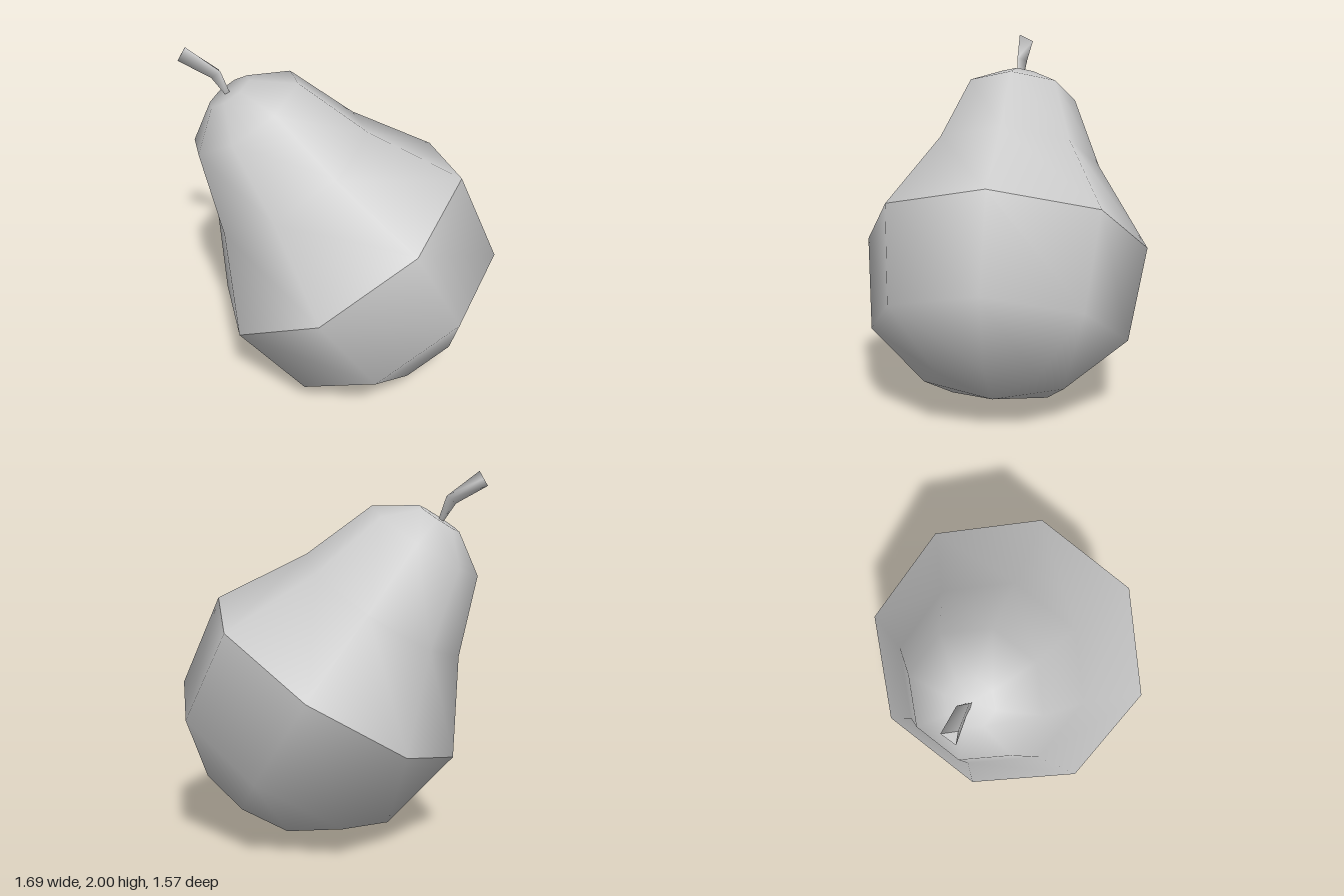
import * as THREE from 'three';

const SIDES = 8;

// Smooth eight-sided shell from a [radius, height] profile running bottom to top
function shell(name, profile, material) {
  const geo = new THREE.LatheGeometry(profile.map(([r, y]) => new THREE.Vector2(r, y)), SIDES);
  const { position, normal } = geo.attributes;
  // poles point straight along the axis
  for (let i = 0; i < position.count; i++) {
    if (Math.hypot(position.getX(i), position.getZ(i)) < 1e-5) {
      normal.setXYZ(i, 0, Math.sign(position.getY(i)), 0);
    }
  }
  const mesh = new THREE.Mesh(geo, material);
  mesh.name = name;
  return mesh;
}

// Skin through equal-sized cross-sections, closed with a crisp triangle at the tip
function loft(sections) {
  const n = sections[0].length;
  const tip = sections[sections.length - 1];
  const index = [];
  for (let s = 0; s < sections.length - 1; s++) {
    for (let j = 0; j < n; j++) {
      const k = (j + 1) % n;
      const a = s * n + j, b = s * n + k;
      index.push(a, b, b + n, a, b + n, a + n);
    }
  }
  const cap = sections.length * n;
  index.push(cap, cap + 1, cap + 2);
  const geo = new THREE.BufferGeometry();
  geo.setAttribute('position', new THREE.Float32BufferAttribute([...sections, tip].flat(2), 3));
  geo.setIndex(index);
  geo.computeVertexNormals();
  return geo;
}

export function createModel() {
  const group = new THREE.Group();
  group.name = 'pear';
  const material = new THREE.MeshStandardMaterial({ color: 0xcccccc });

  // Leaning fruit body, split by a hard crease around its widest ring
  const body = new THREE.Group();
  body.name = 'body';
  body.position.set(-0.03, 0.881, 0);
  body.rotation.z = Math.atan2(0.855, 1.32);
  body.add(
    shell('lowerBody', [[0, -0.876], [0.375, -0.801], [0.701, -0.523], [0.787, 0]], material),
    shell('upperBody', [[0.787, 0], [0.5, 0.48], [0.34, 0.897], [0.129, 1.037], [0, 1.037]], material),
  );
  group.add(body);

  // Bent three-sided stem, widening to its cut tip
  const stem = new THREE.Mesh(loft([
    [[-0.585, 1.735, 0.008], [-0.6, 1.735, -0.02], [-0.612, 1.73, 0.008]],
    [[-0.63, 1.87, 0.015], [-0.655, 1.855, -0.04], [-0.68, 1.83, 0.015]],
    [[-0.8, 2.0, 0.024], [-0.825, 1.96, -0.053], [-0.845, 1.922, 0.024]],
  ]), material);
  stem.name = 'stem';
  group.add(stem);

  return group;
}
